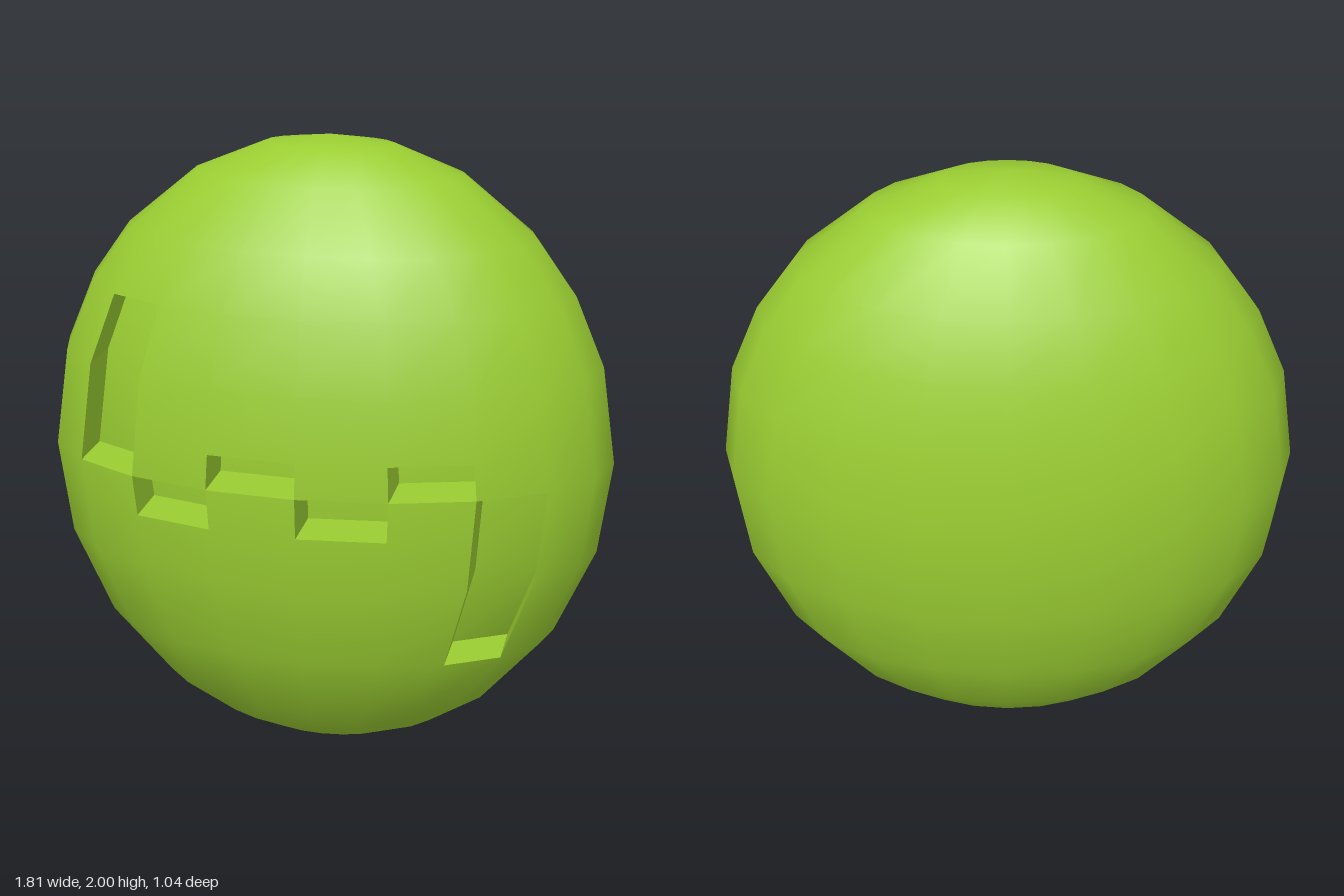
import * as THREE from 'three';

const RX = 0.905, RZ = 0.52, SIDES = 20, DEPTH = 0.18;

// Heights of the rings, bottom to top
const RINGS = [0, 0.03, 0.085, 0.2, 0.42, 0.7, 1, 1.31, 1.53, 1.7, 1.885, 1.975, 2];
const ringRadius = (y) => Math.sqrt(Math.max(0, 1 - (y - 1) ** 2));

// Radius at any height, straight between neighbouring rings so cuts stay on the facets
function radiusAt(y) {
  const i = Math.max(1, RINGS.findIndex((h) => h >= y));
  const t = (y - RINGS[i - 1]) / (RINGS[i] - RINGS[i - 1]);
  return THREE.MathUtils.lerp(ringRadius(RINGS[i - 1]), ringRadius(RINGS[i]), t);
}

// Recesses cut in the front: column counted from the centre line, bottom and top height
const GROOVES = [
  { name: 'rightTallGroove', col: -3, y0: 1, y1: 1.53 },
  { name: 'rightLowerNotch', col: -2, y0: 0.87, y1: 1 },
  { name: 'rightUpperNotch', col: -1, y0: 1, y1: 1.11 },
  { name: 'leftLowerNotch', col: 0, y0: 0.87, y1: 1 },
  { name: 'leftUpperNotch', col: 1, y0: 1, y1: 1.11 },
  { name: 'leftTallGroove', col: 2, y0: 0.42, y1: 1 },
];
const LEVELS = [...RINGS, 0.87, 1.11].sort((a, b) => a - b);

// Surface point with its smooth normal, pushed straight back by `inset`
function point(col, y, inset = 0) {
  const a = (col * 2 * Math.PI) / SIDES, r = radiusAt(y);
  const x = RX * r * Math.sin(a), z = RZ * r * Math.cos(a);
  return {
    p: new THREE.Vector3(x, y, z - inset),
    n: new THREE.Vector3(x / RX ** 2, y - 1, z / RZ ** 2).normalize(),
  };
}

// Collects triangles; corners run counter-clockwise seen from the front
class Surface {
  constructor() {
    this.pos = [];
    this.nor = [];
  }
  tri(a, b, c, flat) {
    const face = new THREE.Vector3().crossVectors(b.p.clone().sub(a.p), c.p.clone().sub(a.p));
    if (face.length() < 1e-9) return;
    face.normalize();
    for (const v of [a, b, c]) {
      this.pos.push(...v.p.toArray());
      this.nor.push(...(flat ? face : v.n).toArray());
    }
  }
  quad(a, b, c, d, flat = false) {
    this.tri(a, b, c, flat);
    this.tri(a, c, d, flat);
  }
  mesh(name, material) {
    const g = new THREE.BufferGeometry();
    g.setAttribute('position', new THREE.Float32BufferAttribute(this.pos, 3));
    g.setAttribute('normal', new THREE.Float32BufferAttribute(this.nor, 3));
    const m = new THREE.Mesh(g, material);
    m.name = name;
    return m;
  }
}

export function createModel() {
  const group = new THREE.Group();
  group.name = 'engravedPebble';
  const green = new THREE.MeshStandardMaterial({ color: 0x9acd32 });

  // Flattened egg-shaped shell, left open where the grooves are cut
  const shell = new Surface();
  for (let col = -SIDES / 2; col < SIDES / 2; col++) {
    for (let i = 0; i < LEVELS.length - 1; i++) {
      const lo = LEVELS[i], hi = LEVELS[i + 1];
      if (GROOVES.some((g) => g.col === col && lo >= g.y0 && hi <= g.y1)) continue;
      shell.quad(point(col, lo), point(col + 1, lo), point(col + 1, hi), point(col, hi));
    }
  }
  group.add(shell.mesh('shell', green));

  // Groove floors follow the shell; walls run straight back
  for (const { name, col, y0, y1 } of GROOVES) {
    const s = new Surface(), c1 = col + 1;
    const rows = LEVELS.filter((y) => y >= y0 && y <= y1);
    for (let i = 0; i < rows.length - 1; i++) {
      const lo = rows[i], hi = rows[i + 1];
      s.quad(point(col, lo, DEPTH), point(c1, lo, DEPTH), point(c1, hi, DEPTH), point(col, hi, DEPTH));
      s.quad(point(col, lo), point(col, lo, DEPTH), point(col, hi, DEPTH), point(col, hi), true);
      s.quad(point(c1, lo, DEPTH), point(c1, lo), point(c1, hi), point(c1, hi, DEPTH), true);
    }
    s.quad(point(col, y0), point(c1, y0), point(c1, y0, DEPTH), point(col, y0, DEPTH), true);
    s.quad(point(col, y1, DEPTH), point(c1, y1, DEPTH), point(c1, y1), point(col, y1), true);
    group.add(s.mesh(name, green));
  }
  return group;
}
